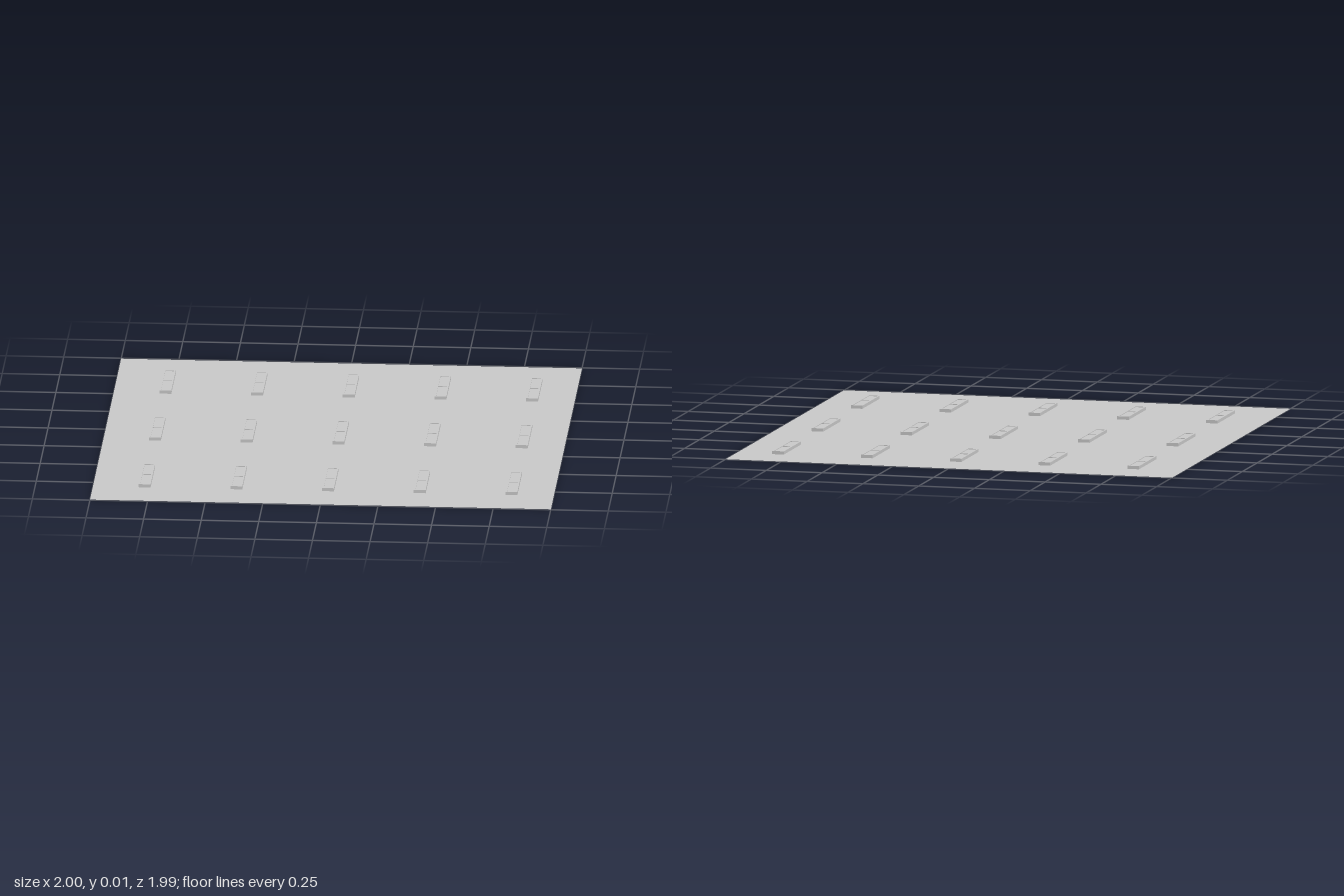
import * as THREE from 'three';

const material = new THREE.MeshStandardMaterial({ color: 0xcccccc, side: THREE.DoubleSide });

const W = 0.052, L = 0.29, H = 0.014, T = 0.007; // housing width, length, height, wall
const columns = [-2, -1, 0, 1, 2].map((i) => 0.02 + i * 0.398);
const rows = [-0.66, 0, 0.66];

function rectangle(path, x, y, w, l) {
  path.moveTo(x - w / 2, y - l / 2);
  path.lineTo(x + w / 2, y - l / 2);
  path.lineTo(x + w / 2, y + l / 2);
  path.lineTo(x - w / 2, y + l / 2);
  path.closePath();
  return path;
}

function addBox(parent, name, w, h, l, x, y, z) {
  const mesh = new THREE.Mesh(new THREE.BoxGeometry(w, h, l), material);
  mesh.name = name;
  mesh.position.set(x, y, z);
  parent.add(mesh);
}

// One shallow housing: rim walls, a closing panel and a cross rib
function createHousing() {
  const housing = new THREE.Group();
  for (const s of [-1, 1]) {
    addBox(housing, 'sideWall', T, H, L, s * (W - T) / 2, H / 2, 0);
    addBox(housing, 'endWall', W - 2 * T, H, T, 0, H / 2, s * (L - T) / 2);
  }
  addBox(housing, 'panel', W - 2 * T, 0.002, L - 2 * T, 0, 0.01, 0);
  addBox(housing, 'crossRib', W - 2 * T, H, 0.004, 0, H / 2, 0);
  return housing;
}

export function createModel() {
  const model = new THREE.Group();

  // Thin sheet with a slot under every housing
  const outline = rectangle(new THREE.Shape(), 0, 0, 2, 1.986);
  for (const x of columns) {
    for (const z of rows) {
      outline.holes.push(rectangle(new THREE.Path(), x, -z, W - 2 * T, L - 2 * T));
    }
  }
  const sheet = new THREE.Mesh(new THREE.ShapeGeometry(outline).rotateX(-Math.PI / 2), material);
  sheet.name = 'sheet';
  model.add(sheet);

  // Grid of housings
  for (const x of columns) {
    for (const z of rows) {
      const housing = createHousing();
      housing.name = 'housing';
      housing.position.set(x, 0, z);
      model.add(housing);
    }
  }
  return model;
}
